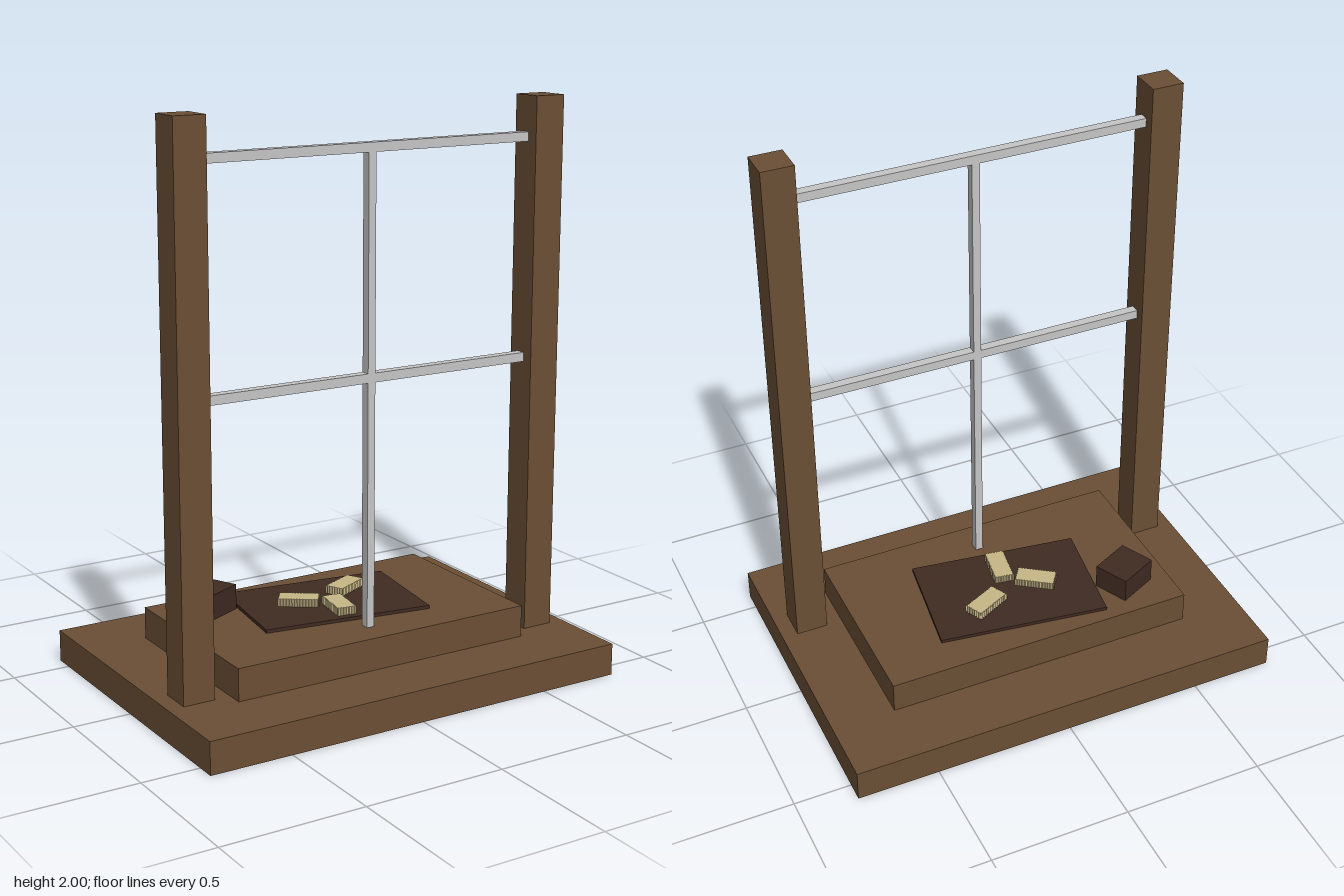
import * as THREE from 'three';

function material(name, color) {
  const m = new THREE.MeshStandardMaterial({ color });
  m.name = name;
  return m;
}

// Rectangle with a small toothed border, extruded upward
function biscuitGeometry(length, width, height) {
  const points = [];
  const tooth = 0.004;
  const corners = [[-1, -1], [1, -1], [1, 1], [-1, 1]];
  corners.forEach(([cx, cy], i) => {
    const [nx, ny] = corners[(i + 1) % 4];
    const teeth = cx !== nx ? 14 : 7;
    for (let k = 0; k < teeth * 2; k++) {
      const t = k / (teeth * 2);
      const inset = k % 2 ? tooth : 0;
      // Odd points step inward, square to the current side
      const x = (cx + (nx - cx) * t) * length / 2 - (cx === nx ? cx * inset : 0);
      const y = (cy + (ny - cy) * t) * width / 2 - (cy === ny ? cy * inset : 0);
      points.push(new THREE.Vector2(x, y));
    }
  });
  const g = new THREE.ExtrudeGeometry(new THREE.Shape(points), { depth: height, bevelEnabled: false });
  return g.rotateX(-Math.PI / 2);
}

export function createModel() {
  const group = new THREE.Group();
  const wood = material('brown wood', 0x6b4f35);
  const darkWood = material('dark wood', 0x402b22);
  const metal = material('light metal', 0xc6c6c6);
  const cream = material('cream biscuit', 0xc8b888);

  function add(name, geometry, mat, x, y, z, turn = 0) {
    const mesh = new THREE.Mesh(geometry, mat);
    mesh.name = name;
    mesh.position.set(x, y, z);
    mesh.rotation.y = turn;
    group.add(mesh);
  }
  // Box placed by the height of its underside
  function box(name, mat, w, h, d, x, bottom, z, turn) {
    add(name, new THREE.BoxGeometry(w, h, d), mat, x, bottom + h / 2, z, turn);
  }

  // Stepped base
  box('base', wood, 1.59, 0.114, 1.136, 0, 0, 0);
  box('upperStep', wood, 1.136, 0.114, 0.68, 0, 0.114, 0);

  // Posts
  for (const side of [-1, 1]) {
    box(side > 0 ? 'leftPost' : 'rightPost', wood, 0.114, 1.886, 0.114, side * 0.682, 0.114, 0.227);
  }

  // Metal bars between the posts
  box('upperBar', metal, 1.25, 0.032, 0.034, 0, 1.845, 0.225);
  box('middleBar', metal, 1.25, 0.032, 0.034, 0, 1.083, 0.225);
  box('uprightBar', metal, 0.028, 1.622, 0.034, 0, 0.228, 0.225);

  // Tray and small block on the step
  box('tray', darkWood, 0.614, 0.012, 0.407, 0, 0.228, -0.05, -0.14);
  box('block', darkWood, 0.156, 0.09, 0.133, -0.4, 0.228, -0.185, 0.45);

  // Biscuits on the tray: x, z, turn
  const biscuit = biscuitGeometry(0.144, 0.072, 0.028);
  [[-0.105, -0.06, -0.61], [0.113, -0.106, 0.45], [-0.011, 0.055, 1.42]].forEach(
    ([x, z, turn], i) => add('biscuit' + (i + 1), biscuit, cream, x, 0.24, z, turn));

  return group;
}
